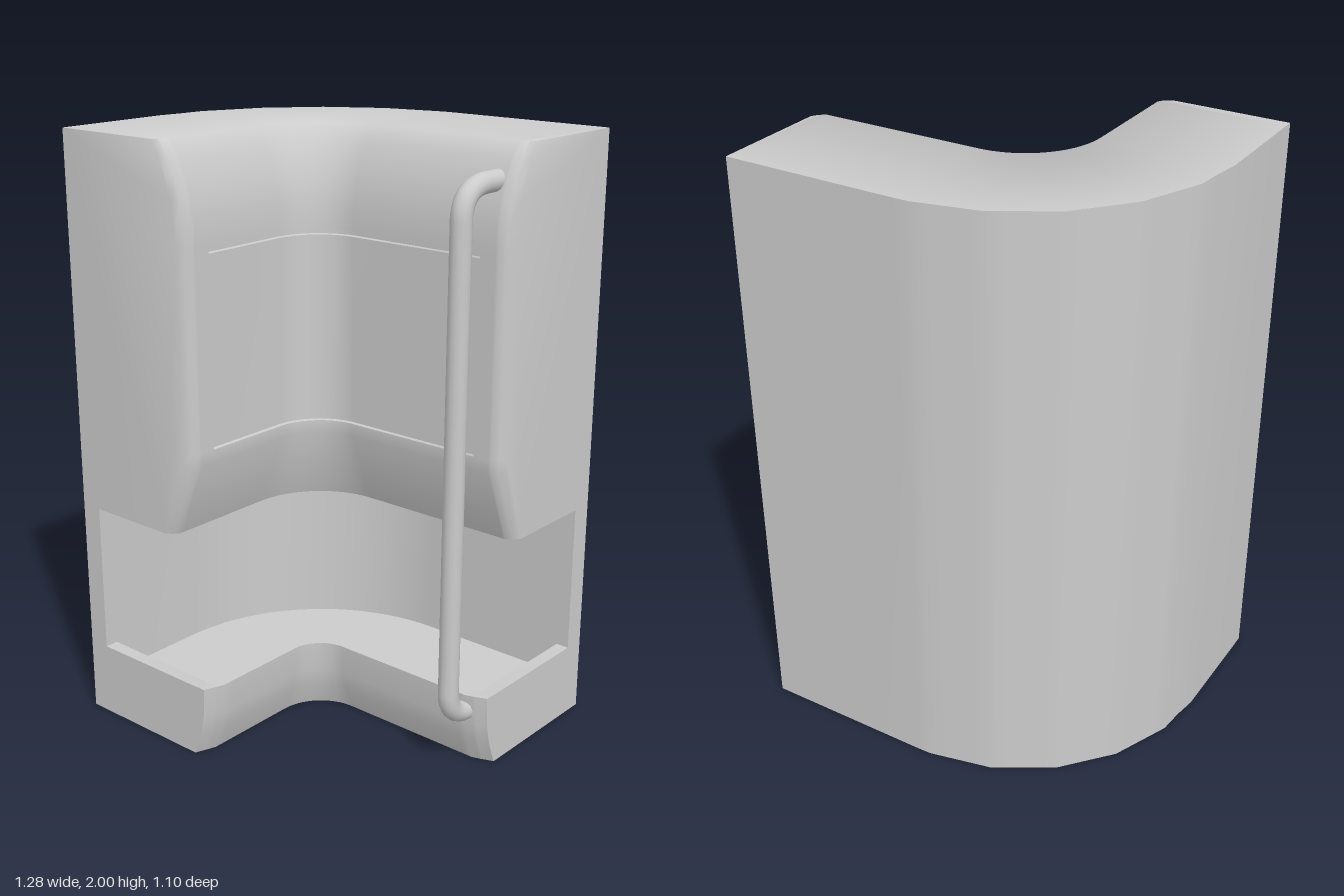
import * as THREE from 'three';
import { toCreasedNormals } from 'three/addons/utils/BufferGeometryUtils.js';

const CX = 0.05, CZ = 0.14;      // centre of the corner bend
const X_END = 0.637, Z_END = 0.55;
const OUTER = 0.69;              // bend centre to the back wall
const mat = new THREE.MeshStandardMaterial({ color: 0xcccccc });

// Cross-section as [distance from bend centre, height]
function section({ outer, upper, lower, floor, groove }) {
  const a = 0.165 + upper, b = 0.115 + lower;
  const slot = y => [[a, y - 0.008], [a + groove, y - 0.006], [a + groove, y + 0.006], [a, y + 0.008]];
  return [
    [outer, 0], [b + 0.05, 0], [b + 0.02, 0.08], [b + 0.005, 0.15], [b, 0.25],   // tray front
    [0.168, 0.25], [0.172, floor], [0.615, floor],                              // rim and tray floor
    [0.615, 0.755], [a + 0.095, 0.755], [a, 1.0],                               // niche and sloped hood
    ...slot(1.05), ...slot(1.67),                                               // panel grooves
    [a, 1.75], [a + 0.012, 1.83], [a + 0.035, 1.9], [a + 0.062, 1.955], [a + 0.095, 2],
    [outer, 2]
  ];
}

// How the section changes with distance from an open end
const endSteps = [
  { d: 0, upper: 0.035, lower: 0.025, floor: 0.249, groove: 0 },
  { d: 0.015, upper: 0.013, lower: 0.02, floor: 0.249, groove: 0 },
  { d: 0.035, upper: 0, lower: 0.012, floor: 0.249, groove: 0 },
  { d: 0.045, upper: 0, lower: 0.008, floor: 0.249, groove: 0 },
  { d: 0.046, upper: 0, lower: 0.008, floor: 0.14, groove: 0 },
  { d: 0.07, upper: 0, lower: 0, floor: 0.14, groove: 0 },
  { d: 0.1, upper: 0, lower: 0, floor: 0.14, groove: 0 },
  { d: 0.102, upper: 0, lower: 0, floor: 0.14, groove: 0.012 }
];

function buildBody() {
  const rings = [];
  const addRing = (x, z, deg, opts) => {
    const t = THREE.MathUtils.degToRad(deg), nx = -Math.sin(t), nz = -Math.cos(t);
    const pts = section(opts);
    rings.push({ pts, pos: pts.map(([r, y]) => [x + r * nx, y, z + r * nz]) });
  };
  // right straight run, bend, then the run towards the front
  for (const s of endSteps) addRing(X_END - s.d, CZ, 0, { outer: OUTER, ...s });
  const mid = endSteps[endSteps.length - 1];
  const facets = [-14, 4, 22, 40, 58, 76, 94];
  for (const deg of [0, 4, ...Array.from({ length: 16 }, (_, i) => 8.5 + 4.5 * i), 83, 90]) {
    // the back wall follows flat facets while the inside stays round
    const k = Math.min(5, Math.max(0, facets.findIndex(f => f > deg) - 1));
    const off = THREE.MathUtils.degToRad(deg - facets[k] - 9);
    const chord = OUTER * Math.cos(Math.PI / 20) / Math.cos(off);
    addRing(CX, CZ, deg, { ...mid, outer: deg === 0 || deg === 90 ? OUTER : chord });
  }
  for (const s of [...endSteps].reverse()) addRing(CX, Z_END - s.d, 90, { outer: OUTER, ...s });

  const out = [];
  const tri = (a, b, c) => out.push(...a, ...b, ...c);
  const n = rings[0].pos.length;
  for (let i = 0; i < rings.length - 1; i++) {
    const A = rings[i].pos, B = rings[i + 1].pos;
    for (let j = 0; j < n; j++) {
      const k = (j + 1) % n;
      tri(A[j], A[k], B[j]);
      tri(A[k], B[k], B[j]);
    }
  }
  // flat end caps
  [[rings[0], 1], [rings[rings.length - 1], -1]].forEach(([ring, sign]) => {
    const p = ring.pts.map(q => new THREE.Vector2(...q));
    for (const [a, b, c] of THREE.ShapeUtils.triangulateShape(p, [])) {
      const area = THREE.ShapeUtils.area([p[a], p[b], p[c]]);
      if (area * sign > 0) tri(ring.pos[a], ring.pos[b], ring.pos[c]);
      else tri(ring.pos[a], ring.pos[c], ring.pos[b]);
    }
  });
  const g = new THREE.BufferGeometry();
  g.setAttribute('position', new THREE.Float32BufferAttribute(out, 3));
  return toCreasedNormals(g, 1.05);
}

// Vertical grab rail bent back into the body at both ends
function buildRail() {
  const V = (y, z) => new THREE.Vector3(0.56, y, z);
  const path = new THREE.CurvePath();
  path.add(new THREE.LineCurve3(V(1.89, -0.09), V(1.89, 0)));
  path.add(new THREE.QuadraticBezierCurve3(V(1.89, 0), V(1.885, 0.105), V(1.79, 0.105)));
  path.add(new THREE.LineCurve3(V(1.79, 0.105), V(0.28, 0.105)));
  path.add(new THREE.QuadraticBezierCurve3(V(0.28, 0.105), V(0.2, 0.1), V(0.19, 0.01)));
  return new THREE.TubeGeometry(path, 140, 0.033, 14, false);
}

export function createModel() {
  const group = new THREE.Group();
  const add = (name, geometry) => {
    const mesh = new THREE.Mesh(geometry, mat);
    mesh.name = name;
    group.add(mesh);
  };
  add('cornerBody', buildBody());
  add('grabRail', buildRail());
  return group;
}
